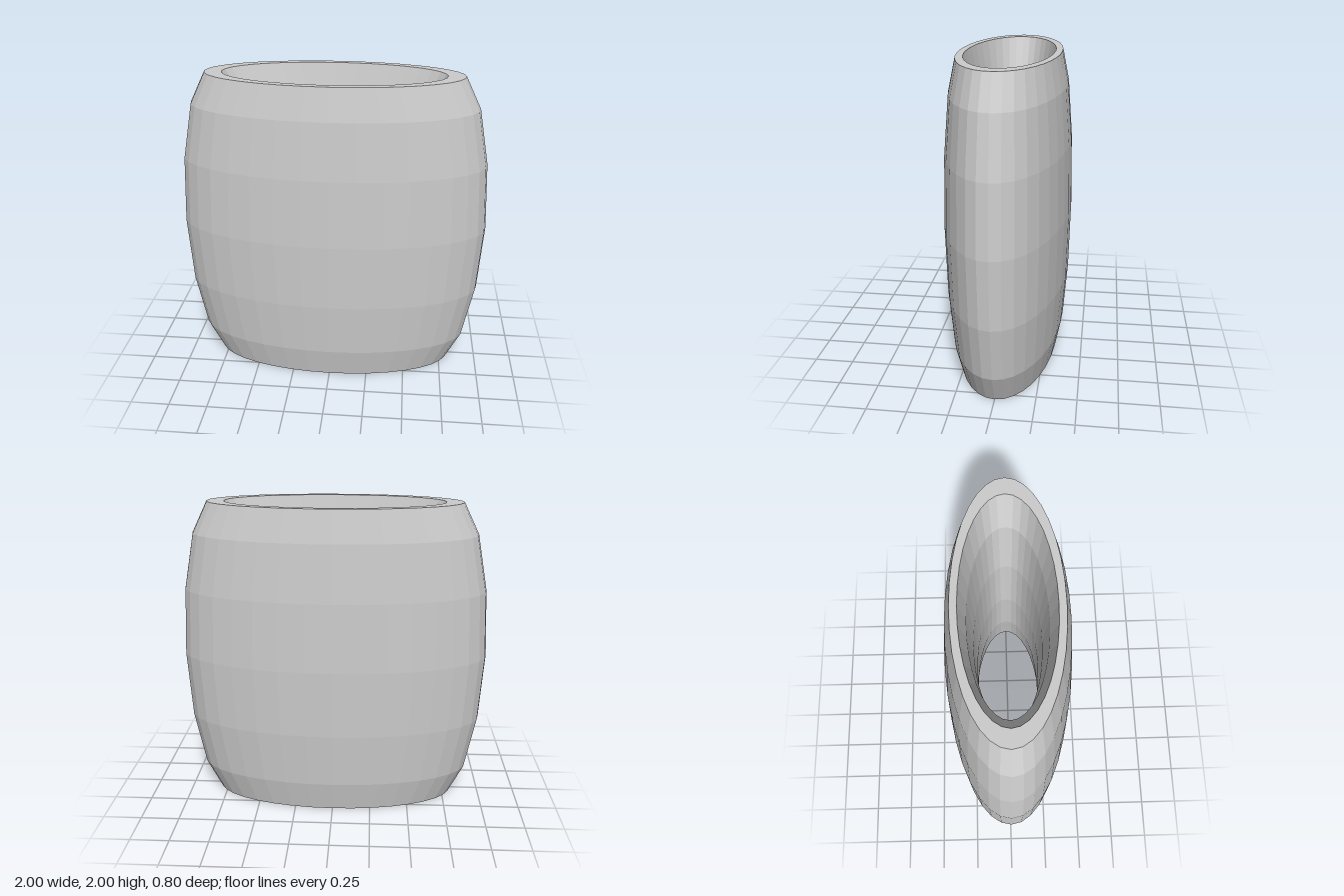
import * as THREE from 'three';

export function createModel() {
  const group = new THREE.Group();
  group.name = 'ovalBarrelRing';

  // Height and inset from the widest point of the wall, bottom to top
  const steps = [[0, 0.195], [0.2, 0.095], [0.56, 0.025], [1, 0], [1.44, 0.025], [1.8, 0.095], [2, 0.195]];

  // Bulging outside going up, pinched bore coming back down, closed by the flat rims
  const outer = steps.map(([y, d]) => new THREE.Vector2(1 - d, y));
  const inner = steps.map(([y, d]) => new THREE.Vector2(0.5 + d, y)).reverse();
  const profile = [...outer, ...inner, outer[0].clone()];

  // Revolved, then flattened front to back into an ellipse
  const geometry = new THREE.LatheGeometry(profile, 36);
  geometry.scale(1, 1, 0.4);

  const material = new THREE.MeshStandardMaterial({ color: 0xcccccc, flatShading: true });
  const ring = new THREE.Mesh(geometry, material);
  ring.name = 'ringBody';
  group.add(ring);
  return group;
}
